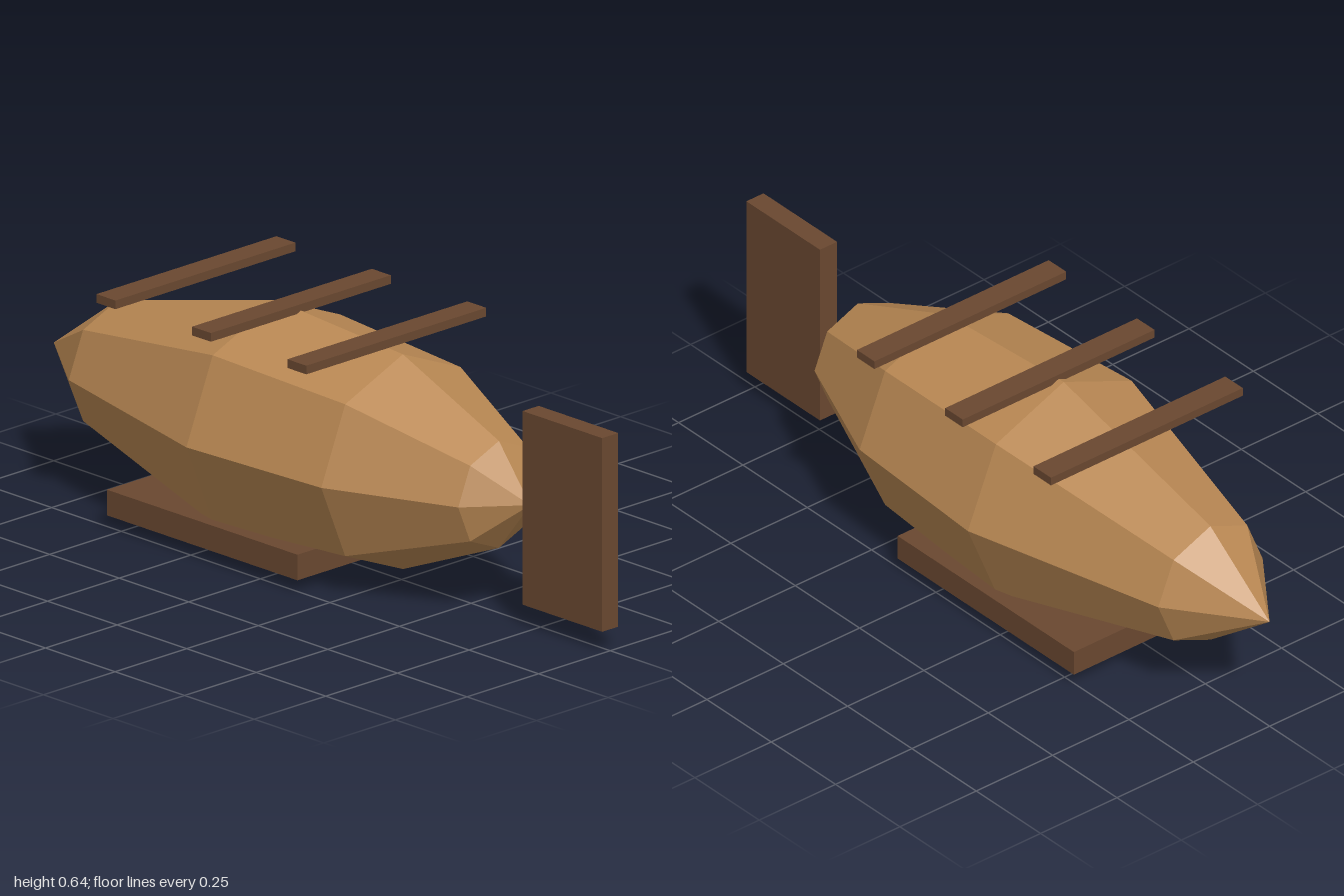
import * as THREE from 'three';

const tan = new THREE.MeshStandardMaterial({ color: 0xb98853, flatShading: true });
const wood = new THREE.MeshStandardMaterial({ color: 0x6a4830, flatShading: true });

function addBox(group, name, size, position) {
  const mesh = new THREE.Mesh(new THREE.BoxGeometry(...size), wood);
  mesh.name = name;
  mesh.position.set(...position);
  group.add(mesh);
}

export function createModel() {
  const model = new THREE.Group();
  model.name = 'airship';
  const axisY = 0.315;

  // Eight-sided hull, turned around the x axis: [radius, x]
  const profile = [[0, -1], [0.171, -0.77], [0.314, -0.2], [0.285, 0.255], [0.142, 0.6], [0, 0.713]]
    .map(([r, x]) => new THREE.Vector2(r, x));
  const hull = new THREE.Mesh(new THREE.LatheGeometry(profile, 8), tan);
  hull.name = 'hull';
  hull.rotation.z = -Math.PI / 2;
  hull.position.y = axisY;
  model.add(hull);

  // Flat deck under the hull
  addBox(model, 'deck', [0.685, 0.068, 0.514], [-0.202, 0.068, 0]);

  // Upright tail fin
  addBox(model, 'tailFin', [0.286, 0.514, 0.056], [0.857, axisY, 0]);

  // Cross bars above the hull
  [-0.489, -0.146, 0.197].forEach((x, i) =>
    addBox(model, `crossBar${i + 1}`, [0.068, 0.023, 0.628], [x, 0.629, 0]));

  return model;
}
